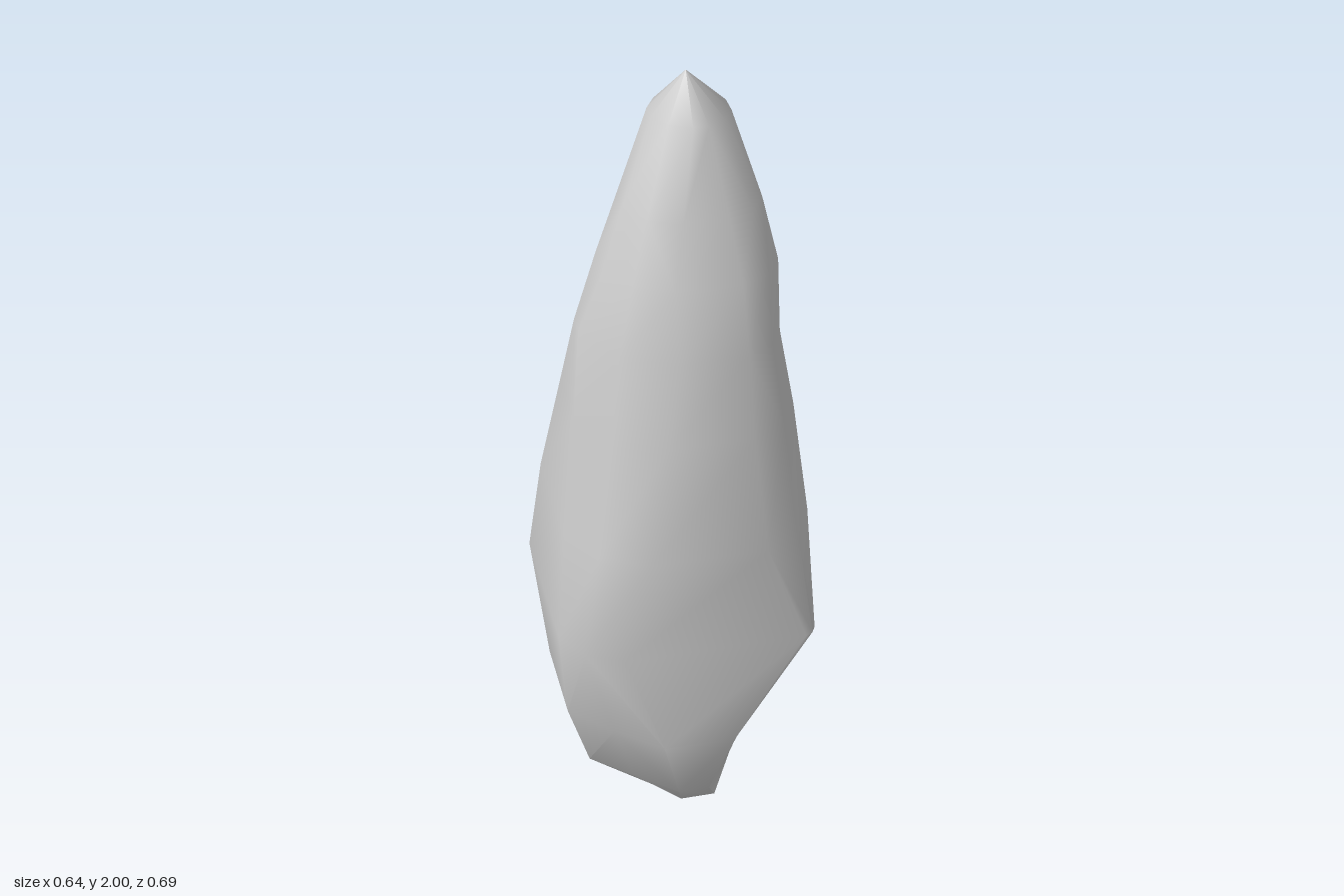
import * as THREE from 'three';
import { toCreasedNormals } from 'three/addons/utils/BufferGeometryUtils.js';

// Each level of the rock is a rectangle with four worn corners:
// y, roundness (0.5 is a flat cut), [left, right, back, front extents],
// then corner cuts [x, z] in the order +x+z, -x+z, -x-z, +x-z
const LEVELS = [
  [0.00, 0.50, [-0.14, 0.19, -0.15, 0.24], [0.12, 0.24], [0.12, 0.14], [0.12, 0.12], [0.09, 0.09]],
  [0.08, 0.50, [-0.24, 0.27, -0.22, 0.30], [0.23, 0.36], [0.20, 0.18], [0.19, 0.18], [0.14, 0.13]],
  [0.28, 0.48, [-0.30, 0.285, -0.28, 0.35], [0.19, 0.30], [0.21, 0.20], [0.18, 0.18], [0.09, 0.20]],
  [0.56, 0.36, [-0.325, 0.31, -0.345, 0.325], [0.03, 0.03], [0.14, 0.13], [0.12, 0.13], [0.21, 0.18]],
  [0.83, 0.36, [-0.293, 0.32, -0.333, 0.31], [0.14, 0.15], [0.18, 0.18], [0.15, 0.15], [0.25, 0.24]],
  [1.15, 0.36, [-0.255, 0.275, -0.265, 0.288], [0.13, 0.13], [0.19, 0.19], [0.19, 0.19], [0.19, 0.19]],
  [1.36, 0.36, [-0.23, 0.237, -0.215, 0.252], [0.10, 0.10], [0.20, 0.20], [0.21, 0.21], [0.17, 0.17]],
  [1.53, 0.36, [-0.172, 0.24, -0.168, 0.21], [0.11, 0.10], [0.14, 0.14], [0.15, 0.15], [0.17, 0.16]],
  [1.68, 0.36, [-0.122, 0.208, -0.123, 0.162], [0.10, 0.09], [0.12, 0.11], [0.12, 0.11], [0.13, 0.11]],
  [1.89, 0.36, [-0.045, 0.142, -0.095, 0.10], [0.07, 0.07], [0.08, 0.08], [0.07, 0.07], [0.08, 0.07]],
];
const APEX = [0.035, 2, 0.025];
const N = 12;

// Three points per corner, running from +x towards +z
function ring([y, round, [l, r, b, f], ...cuts]) {
  const corners = [[r, f, 1, 1], [l, f, -1, 1], [l, b, -1, -1], [r, b, 1, -1]];
  return corners.flatMap(([x, z, sx, sz], i) => {
    const [cx, cz] = [cuts[i][0] * sx, cuts[i][1] * sz];
    const alongZ = [x, y, z - cz];
    const middle = [x - cx * round, y, z - cz * round];
    const alongX = [x - cx, y, z];
    return sx === sz ? [alongZ, middle, alongX] : [alongX, middle, alongZ];
  });
}

function rockGeometry() {
  const points = LEVELS.flatMap(ring);
  const top = points.push(APEX) - 1;
  const bottom = points.push([0.02, 0, 0.04]) - 1;
  const last = (LEVELS.length - 1) * N;
  const index = [];
  for (let i = 0; i < N; i++) {
    const j = (i + 1) % N;
    // Sides, each four-cornered patch split along its convex diagonal
    for (let k = 0; k < last; k += N) {
      const [a, b, c, d] = [k + i, k + j, k + N + j, k + N + i];
      const [A, B, C, D] = [a, b, c, d].map((n) => new THREE.Vector3(...points[n]));
      const normal = new THREE.Vector3().crossVectors(D.sub(A), B.sub(A));
      if (normal.dot(C.sub(A)) <= 0) index.push(a, d, b, b, d, c);
      else index.push(a, d, c, a, c, b);
    }
    // Pointed tip and flat underside
    index.push(last + i, top, last + j);
    index.push(bottom, i, j);
  }
  const geometry = new THREE.BufferGeometry();
  geometry.setAttribute('position', new THREE.Float32BufferAttribute(points.flat(), 3));
  geometry.setIndex(index);
  return toCreasedNormals(geometry, 0.75);
}

export function createModel() {
  const group = new THREE.Group();
  group.name = 'rockSpire';
  const rock = new THREE.Mesh(rockGeometry(), new THREE.MeshStandardMaterial({ color: 0xcccccc }));
  rock.name = 'rock';
  group.add(rock);
  return group;
}
